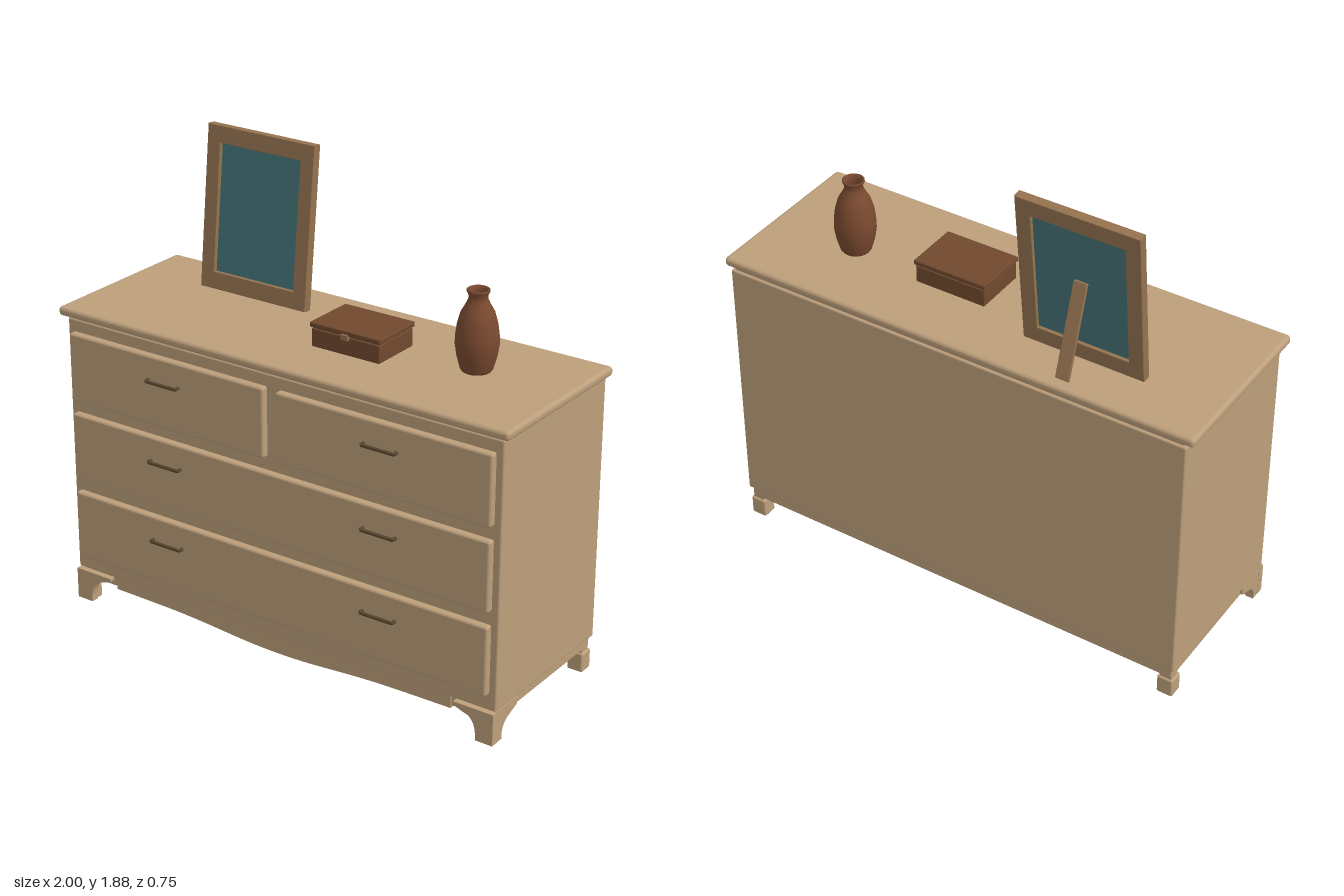
import * as THREE from 'three';
import { RoundedBoxGeometry } from 'three/addons/geometries/RoundedBoxGeometry.js';

const mat = (color, side = THREE.FrontSide) => new THREE.MeshStandardMaterial({ color, side });

export function createModel() {
  const root = new THREE.Group();
  const wood = mat(0xbd9f7b);
  const frameWood = mat(0x957350);
  const boxWood = mat(0x70492f);
  const metal = mat(0x59452f);
  const clay = mat(0x7a4a30, THREE.DoubleSide);
  const glass = mat(0x457378);

  const add = (parent, name, geometry, material, x = 0, y = 0, z = 0) => {
    const mesh = new THREE.Mesh(geometry, material);
    mesh.name = name;
    mesh.position.set(x, y, z);
    parent.add(mesh);
    return mesh;
  };
  // Rounded box given by its limits on each axis
  const block = (parent, name, material, [x0, x1], [y0, y1], [z0, z1], r = 0.006) =>
    add(parent, name, new RoundedBoxGeometry(x1 - x0, y1 - y0, z1 - z0, 3, r), material,
      (x0 + x1) / 2, (y0 + y1) / 2, (z0 + z1) / 2);
  const group = (name, parent = root) => {
    const g = new THREE.Group();
    g.name = name;
    parent.add(g);
    return g;
  };

  // Cabinet
  const cabinet = group('cabinet');
  block(cabinet, 'top', wood, [-1, 1], [1.2, 1.237], [-0.372, 0.344], 0.015);
  block(cabinet, 'neck', wood, [-0.96, 0.96], [1.18, 1.21], [-0.36, 0.31]);
  block(cabinet, 'carcass', wood, [-0.972, 0.972], [0.132, 1.192], [-0.37, 0.32], 0.008);
  block(cabinet, 'plinth', wood, [-0.96, 0.96], [0.09, 0.138], [-0.36, 0.31]);

  // Drawers, each with its bar handles
  const handlePath = new THREE.CurvePath();
  const corners = [[-0.07, 0], [-0.07, 0.021], [0.07, 0.021], [0.07, 0]]
    .map(([x, z]) => new THREE.Vector3(x, 0, z));
  for (let i = 0; i < 3; i++) handlePath.add(new THREE.LineCurve3(corners[i], corners[i + 1]));
  const handleGeometry = new THREE.TubeGeometry(handlePath, 48, 0.007, 8);
  const drawer = (name, x0, x1, y0, handles) => {
    const g = group(name);
    block(g, 'drawerFront', wood, [x0, x1], [y0, y0 + 0.28], [0.305, 0.348], 0.01);
    for (const x of handles) add(g, 'handle', handleGeometry, metal, x, y0 + 0.184, 0.346);
  };
  drawer('topRightDrawer', -0.947, -0.03, 0.862, [-0.49]);
  drawer('topLeftDrawer', 0.025, 0.942, 0.862, [0.484]);
  drawer('middleDrawer', -0.947, 0.942, 0.53, [-0.49, 0.484]);
  drawer('bottomDrawer', -0.947, 0.942, 0.196, [-0.49, 0.484]);

  // Wavy apron between the front feet
  const apron = new THREE.Shape();
  apron.moveTo(-0.78, 0.135);
  apron.lineTo(-0.78, 0.084);
  apron.lineTo(-0.6, 0.082);
  apron.bezierCurveTo(-0.3, 0.08, -0.22, 0.054, 0, 0.054);
  apron.bezierCurveTo(0.22, 0.054, 0.3, 0.08, 0.6, 0.082);
  apron.lineTo(0.78, 0.084);
  apron.lineTo(0.78, 0.135);
  add(root, 'apron', new THREE.ExtrudeGeometry(apron,
    { depth: 0.022, bevelEnabled: false, curveSegments: 16 }), wood, 0, 0, 0.295);

  // Bracket feet: outline runs inward from the outer corner
  const bracket = (foot, knee, reach, rise) => {
    const s = new THREE.Shape();
    s.moveTo(0, 0);
    s.lineTo(-foot, 0);
    s.lineTo(-foot, 0.025);
    s.quadraticCurveTo(-foot - 0.004, rise - 0.04, -knee, rise - 0.022);
    s.quadraticCurveTo(-reach + 0.03, rise - 0.012, -reach, rise);
    s.lineTo(-reach, 0.128);
    s.lineTo(0, 0.128);
    return new THREE.ExtrudeGeometry(s, { depth: 0.032, bevelEnabled: false, curveSegments: 8 });
  };
  for (const side of [1, -1]) {
    const feet = group(side > 0 ? 'leftFeet' : 'rightFeet');
    feet.scale.x = side;
    add(feet, 'frontBracket', bracket(0.073, 0.105, 0.17, 0.115), wood, 0.97, 0, 0.303);
    add(feet, 'sideBracket', bracket(0.035, 0.075, 0.135, 0.098), wood, 0.969, 0, 0.305)
      .rotation.y = -Math.PI / 2;
    block(feet, 'frontFootCore', wood, [0.9, 0.95], [0, 0.12], [0.272, 0.31], 0.004);
    block(feet, 'backFoot', wood, [0.902, 0.968], [0, 0.08], [-0.364, -0.302], 0.008);
    block(feet, 'backFootBlock', wood, [0.91, 0.96], [0.07, 0.1], [-0.357, -0.31], 0.004);
  }

  // Leaning framed mirror
  const mirror = group('mirror');
  mirror.position.set(-0.447, 1.239, -0.143);
  mirror.rotation.x = -0.105;
  const outline = (x, y0, y1, T) => {
    const p = new T();
    p.moveTo(-x, y0);
    p.lineTo(x, y0);
    p.lineTo(x, y1);
    p.lineTo(-x, y1);
    p.closePath();
    return p;
  };
  const rim = outline(0.245, 0.003, 0.637, THREE.Shape);
  rim.holes.push(outline(0.19, 0.066, 0.575, THREE.Path));
  add(mirror, 'frame', new THREE.ExtrudeGeometry(rim, {
    depth: 0.031, bevelThickness: 0.003, bevelSize: 0.003, bevelSegments: 2,
  }), frameWood, 0, 0, -0.034);
  add(mirror, 'glass', new THREE.BoxGeometry(0.385, 0.515, 0.008), glass, 0, 0.32, -0.02);

  // Strut from the back of the frame to the top
  const start = new THREE.Vector3(-0.452, 1.592, -0.214);
  const end = new THREE.Vector3(-0.452, 1.242, -0.327);
  const strut = add(root, 'strut', new RoundedBoxGeometry(0.055, start.distanceTo(end), 0.013, 2, 0.003),
    frameWood);
  strut.position.copy(start).lerp(end, 0.5);
  strut.rotation.x = Math.atan2(start.z - end.z, start.y - end.y);

  // Lidded box
  const casket = group('smallBox');
  block(casket, 'boxBody', boxWood, [0.014, 0.312], [1.237, 1.308], [-0.11, 0.106], 0.004);
  block(casket, 'boxLid', boxWood, [0.008, 0.318], [1.313, 1.333], [-0.115, 0.111], 0.005);
  block(casket, 'boxSeam', boxWood, [0.02, 0.306], [1.3, 1.32], [-0.104, 0.1], 0.003);
  block(casket, 'clasp', frameWood, [0.147, 0.181], [1.295, 1.32], [0.1, 0.116], 0.004);

  // Vase, outer wall up to the lip and down inside
  const profile = [
    [0, 0], [0.054, 0], [0.06, 0.008], [0.073, 0.055], [0.08, 0.1], [0.079, 0.135], [0.073, 0.18],
    [0.062, 0.22], [0.045, 0.25], [0.036, 0.27], [0.034, 0.285], [0.042, 0.3], [0.042, 0.306],
    [0.038, 0.309], [0.031, 0.3], [0.028, 0.28], [0.034, 0.255], [0.055, 0.215], [0.068, 0.12],
    [0.05, 0.02], [0, 0.015],
  ].map(([r, y]) => new THREE.Vector2(r, y));
  add(root, 'vase', new THREE.LatheGeometry(profile, 24), clay, 0.62, 1.237, -0.056);

  return root;
}
